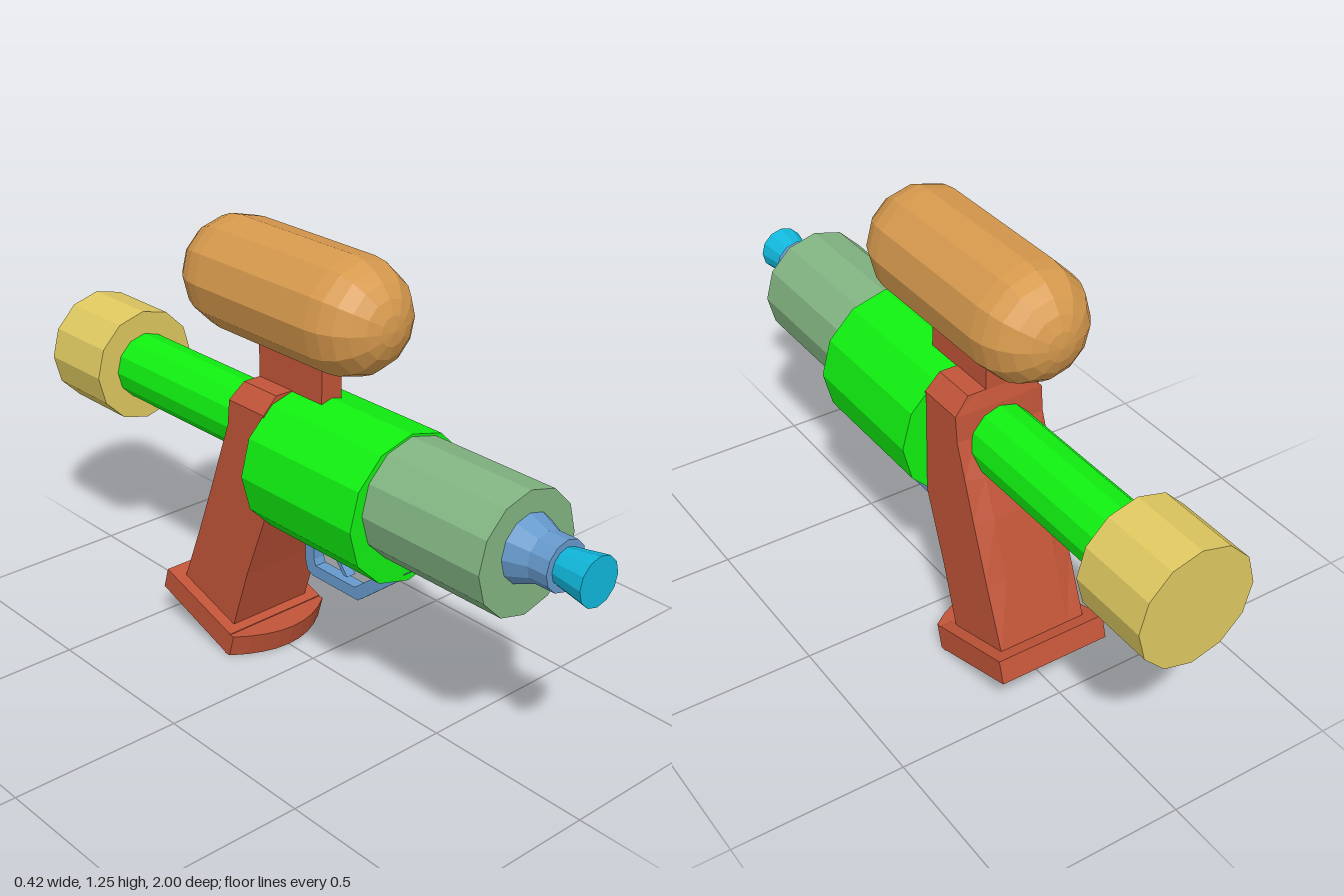
import * as THREE from 'three';

const mat = (color) => new THREE.MeshStandardMaterial({ color, flatShading: true });
const RED = mat(0xc05438), GREEN = mat(0x11f011), SAGE = mat(0x82b482), ORANGE = mat(0xd6994d);
const GOLD = mat(0xdec860), BLUE = mat(0x6699cc), CYAN = mat(0x10b8dc);

export function createModel() {
  const model = new THREE.Group();
  model.name = 'toyWaterBlaster';

  const add = (name, geometry, material) => {
    const mesh = new THREE.Mesh(geometry, material);
    mesh.name = name;
    model.add(mesh);
    return mesh;
  };

  // Twelve-sided tube along z, from zBack to zFront
  const tube = (name, material, y, zBack, zFront, rBack, rFront = rBack) => {
    const g = new THREE.CylinderGeometry(rFront, rBack, zFront - zBack, 12);
    g.rotateX(Math.PI / 2).translate(0, y, (zBack + zFront) / 2);
    return add(name, g, material);
  };

  // Side profile of [z, y] points, extruded across x
  const plate = (name, material, points, width) => {
    const shape = new THREE.Shape(points.map(([z, y]) => new THREE.Vector2(z, y)));
    const g = new THREE.ExtrudeGeometry(shape, { depth: width, bevelEnabled: false });
    g.translate(0, 0, -width / 2).rotateY(-Math.PI / 2);
    return add(name, g, material);
  };

  // Body, barrel and pump
  tube('body', GREEN, 0.627, -0.05, 0.378, 0.21);
  tube('barrel', SAGE, 0.66, 0.37, 0.78, 0.17);
  tube('nozzleCollar', BLUE, 0.675, 0.775, 0.84, 0.096, 0.07);
  tube('nozzleNeck', BLUE, 0.675, 0.84, 0.9, 0.07);
  tube('nozzleTip', CYAN, 0.675, 0.895, 1.0, 0.05, 0.068);
  tube('pumpRod', GREEN, 0.675, -0.78, -0.04, 0.1);
  tube('pumpCap', GOLD, 0.675, -1.0, -0.763, 0.17);

  // Water tank and its neck
  const tank = new THREE.CapsuleGeometry(0.162, 0.44, 6, 12);
  tank.rotateX(Math.PI / 2).translate(0, 1.091, -0.073);
  add('tank', tank, ORANGE);
  const neck = new THREE.BoxGeometry(0.07, 0.24, 0.255);
  neck.translate(0, 0.86, -0.053);
  add('tankNeck', neck, RED);

  add('handle', handleGeometry(), RED);

  // Tilted foot of the handle with a rounded toe
  plate('footSlab', RED, [[-0.165, 0.073], [-0.455, 0.165], [-0.475, 0.1], [-0.18, 0]], 0.34);
  const toeShape = new THREE.Shape();
  toeShape.moveTo(-0.17, 0);
  for (let i = 0; i <= 8; i++) {
    const t = (i / 8) * 2 - 1;
    toeShape.lineTo(0.17 * t, -0.02 - 0.065 * (1 - t * t));
  }
  toeShape.lineTo(0.17, 0);
  const toe = new THREE.ExtrudeGeometry(toeShape, { depth: 0.07, bevelEnabled: false });
  toe.rotateX(-Math.PI / 2).translate(0, 0, -0.17);
  const p = toe.attributes.position;
  for (let i = 0; i < p.count; i++) p.setZ(i, p.getZ(i) + 0.3 * (p.getY(i) - 0.07));
  toe.computeVertexNormals();
  add('footToe', toe, RED);

  // Trigger guard and trigger
  plate('triggerGuard', BLUE, [
    [0.38, 0.44], [0.36, 0.412], [0.205, 0.287], [0.02, 0.287], [-0.002, 0.297], [-0.012, 0.33], [-0.012, 0.44],
    [0.025, 0.44], [0.025, 0.34], [0.032, 0.322], [0.19, 0.322], [0.32, 0.425], [0.33, 0.44],
  ], 0.036);
  plate('trigger', BLUE, [
    [0.125, 0.44], [0.122, 0.4], [0.135, 0.365], [0.158, 0.338], [0.142, 0.338], [0.115, 0.37], [0.098, 0.41], [0.095, 0.44],
  ], 0.03);

  return model;
}

// Handle lofted through level rings, bevelled at the top and swelling at the back
function handleGeometry() {
  // [half width, front y, front z, back y, back z, swell]
  const rings = [
    [0.135, 0.07, -0.195, 0.145, -0.415, 0],
    [0.135, 0.27, -0.127, 0.33, -0.34, 0.012],
    [0.135, 0.47, -0.048, 0.5, -0.275, 0.02],
    [0.135, 0.6, -0.045, 0.61, -0.235, 0.014],
    [0.135, 0.71, -0.045, 0.71, -0.198, 0.004],
    [0.135, 0.785, -0.045, 0.785, -0.19, 0.003],
    [0.09, 0.83, -0.045, 0.83, -0.18, 0],
  ];
  const pos = [], index = [], n = 6;
  for (const [w, yf, zf, yb, zb, s] of rings) {
    const c = w * 0.6;
    pos.push(w, yf, zf, w, yb, zb, c, yb, zb - s, -c, yb, zb - s, -w, yb, zb, -w, yf, zf);
  }
  for (let i = 0; i < rings.length - 1; i++) {
    for (let j = 0; j < n; j++) {
      const a = i * n + j, b = i * n + ((j + 1) % n);
      index.push(a, b, b + n, a, b + n, a + n);
    }
  }
  const top = (rings.length - 1) * n;
  for (let j = 1; j < n - 1; j++) index.push(top, top + j, top + j + 1, 0, j + 1, j);
  const g = new THREE.BufferGeometry();
  g.setAttribute('position', new THREE.Float32BufferAttribute(pos, 3));
  g.setIndex(index);
  g.computeVertexNormals();
  return g;
}
